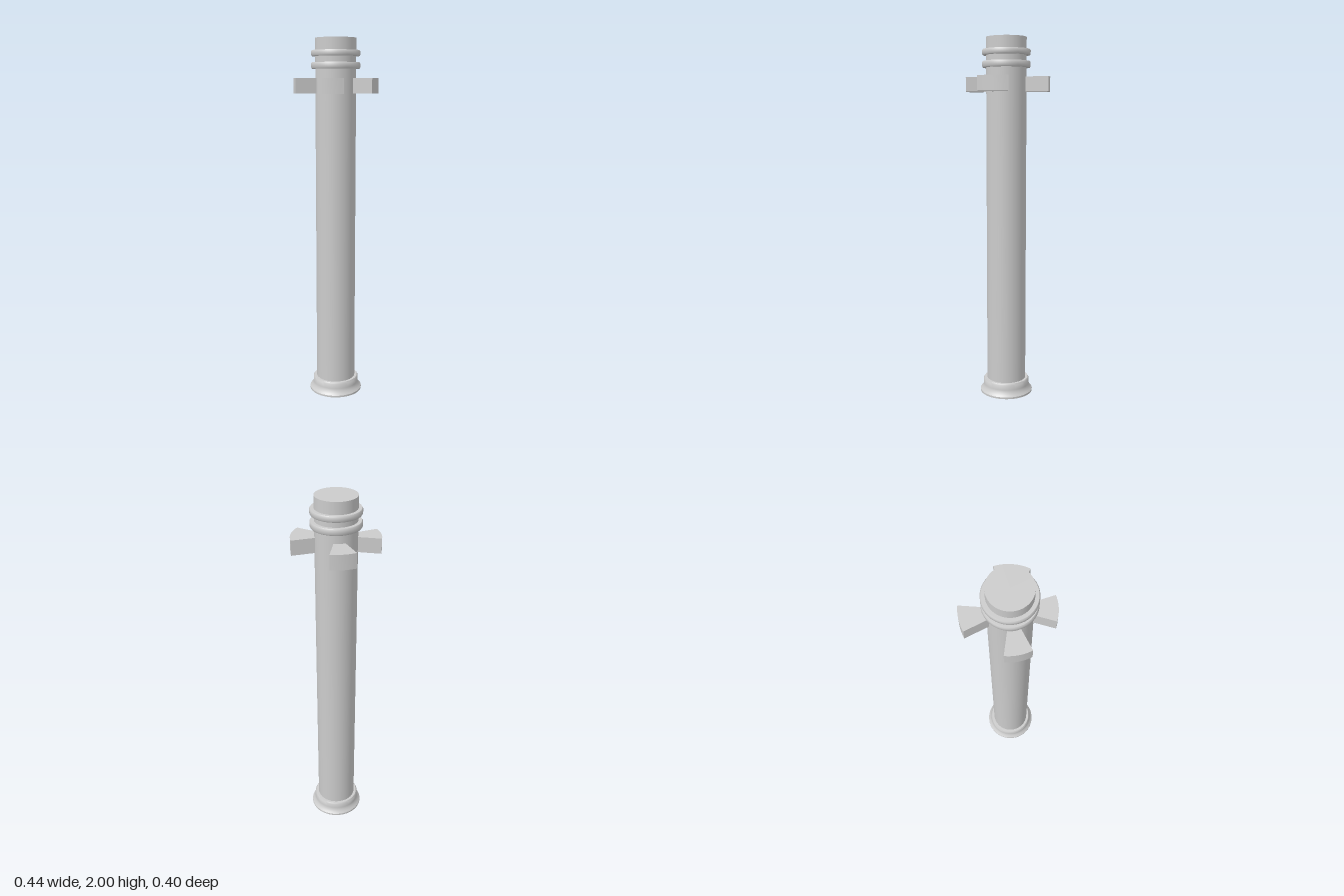
import * as THREE from 'three';
import { toCreasedNormals } from 'three/addons/utils/BufferGeometryUtils.js';

const material = new THREE.MeshStandardMaterial({ color: 0xcccccc });

function addPart(parent, name, geometry, crease = 0.7) {
  const mesh = new THREE.Mesh(toCreasedNormals(geometry, crease), material);
  mesh.name = name;
  parent.add(mesh);
}

// Revolved solid from [radius, height] pairs, bottom to top
const lathe = (points) =>
  new THREE.LatheGeometry(points.map(([r, y]) => new THREE.Vector2(r, y)), 64);

// Ring sector between two angles in degrees, lying flat and extruded upward
function sector(from, to, radiusFrom, radiusTo, y0, y1) {
  const inner = 0.09, steps = 10;
  const shape = new THREE.Shape();
  const at = (t, r) => {
    const a = THREE.MathUtils.degToRad(from + (to - from) * t);
    return [r * Math.cos(a), r * Math.sin(a)];
  };
  shape.moveTo(...at(0, inner));
  for (let i = 0; i <= steps; i++) {
    const t = i / steps;
    shape.lineTo(...at(t, radiusFrom + (radiusTo - radiusFrom) * t));
  }
  for (let i = steps; i > 0; i--) shape.lineTo(...at(i / steps, inner));
  const geometry = new THREE.ExtrudeGeometry(shape, { depth: y1 - y0, bevelEnabled: false });
  return geometry.rotateX(-Math.PI / 2).translate(0, y0, 0);
}

export function createModel() {
  const model = new THREE.Group();
  model.name = 'column';
  model.position.set(-0.002, 0, -0.005);

  // Long shaft with flat ends
  addPart(model, 'shaft', lathe([[0, 0.01], [0.11, 0.01], [0.11, 2], [0, 2]]));

  // Stepped foot with a flared rim
  addPart(model, 'foot', lathe([
    [0, 0], [0.149, 0], [0.149, 0.01], [0.142, 0.018], [0.133, 0.03],
    [0.13, 0.045], [0.13, 0.072], [0.124, 0.08], [0.1, 0.08],
  ]));

  // Two collars near the top
  for (const [name, y0, y1] of [['lowerCollar', 1.839, 1.873], ['upperCollar', 1.905, 1.936]]) {
    addPart(model, name, lathe([
      [0.1, y0], [0.128, y0], [0.132, y0 + 0.006],
      [0.132, y1 - 0.006], [0.128, y1], [0.1, y1],
    ]));
  }

  // Four unequal wedge lugs: start angle, end angle, radius at each end
  const lugs = [
    ['backLeftLug', 13.5, 58.2, 0.227, 0.233],
    ['backRightLug', 124.2, 156.4, 0.24, 0.237],
    ['frontRightLug', 211.5, 245.4, 0.23, 0.226],
    ['frontLeftLug', 292.3, 327.2, 0.221, 0.221],
  ];
  for (const [name, from, to, r0, r1] of lugs) {
    addPart(model, name, sector(from, to, r0, r1, 1.71, 1.79));
  }

  const root = new THREE.Group();
  root.add(model);
  return root;
}
